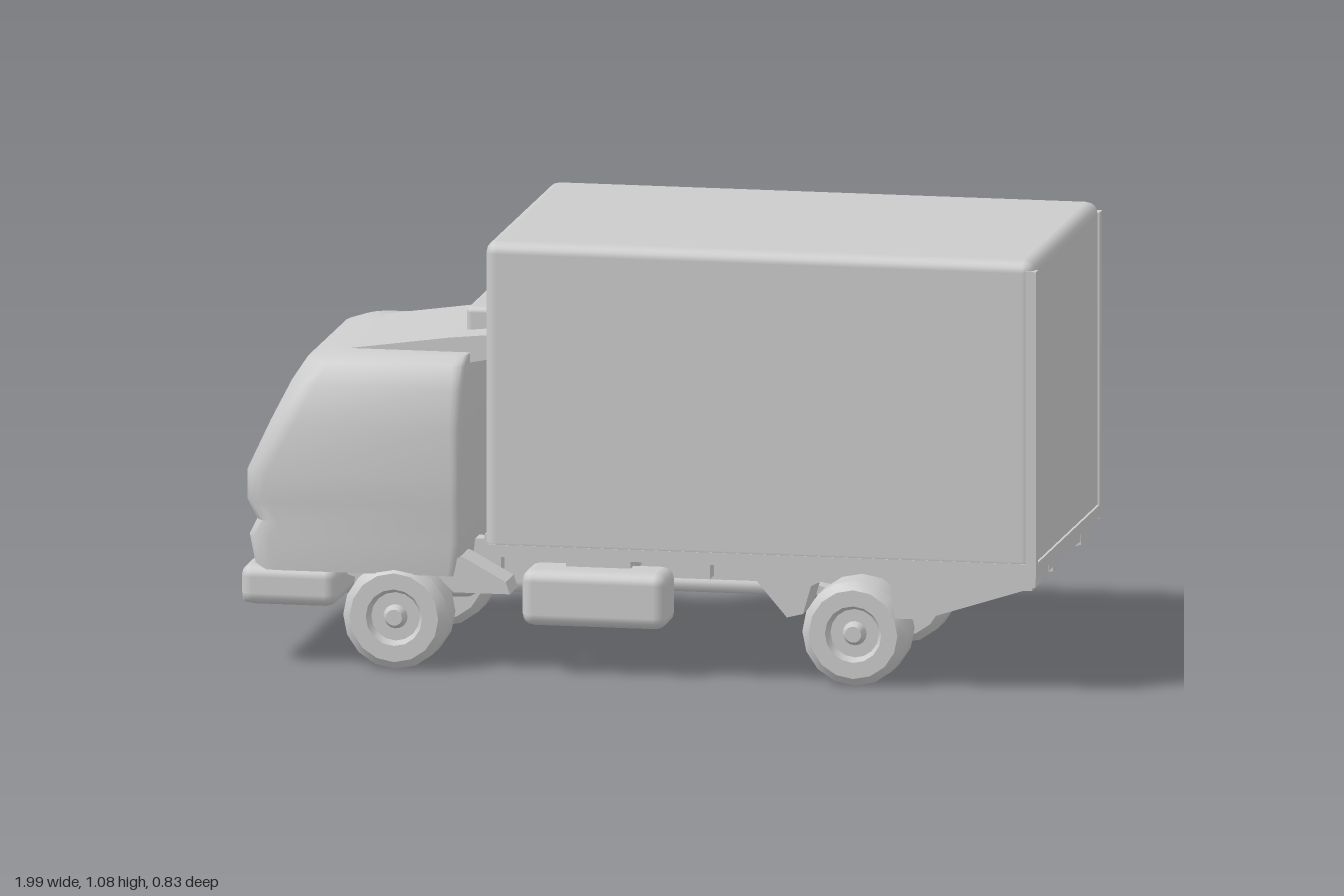
import * as THREE from 'three';
import { RoundedBoxGeometry } from 'three/addons/geometries/RoundedBoxGeometry.js';
import { toCreasedNormals } from 'three/addons/utils/BufferGeometryUtils.js';

const grey = new THREE.MeshStandardMaterial({ color: 0xcccccc, side: THREE.DoubleSide });

export function createModel() {
  const truck = new THREE.Group();

  const add = (name, geometry, x = 0, y = 0, z = 0) => {
    const mesh = new THREE.Mesh(geometry, grey);
    mesh.name = name;
    mesh.position.set(x, y, z);
    truck.add(mesh);
    return mesh;
  };
  // Block given by its limits, with optional rounded edges
  const block = (name, [x0, x1], [y0, y1], [z0, z1], r = 0) => {
    const size = [x1 - x0, y1 - y0, z1 - z0];
    const geometry = r ? new RoundedBoxGeometry(...size, 2, r) : new THREE.BoxGeometry(...size);
    return add(name, geometry, (x0 + x1) / 2, (y0 + y1) / 2, (z0 + z1) / 2);
  };
  // Side profile extruded across the width, centred on z
  const slab = (name, points, width, z = 0) => {
    const shape = new THREE.Shape(points.map(p => new THREE.Vector2(...p)));
    return add(name, new THREE.ExtrudeGeometry(shape, { depth: width, bevelEnabled: false }), 0, 0, z - width / 2);
  };
  // Cylinder along z
  const rod = (name, radius, length, x, y, z, sides = 10) =>
    add(name, new THREE.CylinderGeometry(radius, radius, length, sides).rotateX(Math.PI / 2), x, y, z);

  // Cargo body with its lower sill and rear door posts
  block('cargoBox', [-0.38, 0.985], [0.31, 1.085], [-0.42, 0.41], 0.03);
  block('cargoSill', [-0.37, 0.99], [0.305, 0.335], [-0.42, 0.41]);
  for (const z of [-0.405, 0.395]) block('rearPost', [0.965, 0.99], [0.3, 1.06], [z - 0.015, z + 0.015]);

  // Cab: rounded rectangular sections stacked upward [y, front x, back x, half width, corner radius]
  add('cab', cabGeometry([
    [0.24, -0.97, -0.46, 0.345, 0.06],
    [0.32, -0.985, -0.45, 0.35, 0.06],
    [0.36, -0.965, -0.45, 0.35, 0.06],
    [0.41, -0.99, -0.45, 0.355, 0.06],
    [0.48, -0.99, -0.45, 0.355, 0.06],
    [0.6, -0.935, -0.45, 0.352, 0.07],
    [0.7, -0.885, -0.45, 0.335, 0.07],
    [0.755, -0.85, -0.45, 0.31, 0.07],
    [0.775, -0.8, -0.45, 0.27, 0.06],
  ]));
  // Roof wedge rising to the cargo body
  slab('cabRoof', [[-0.82, 0.765], [-0.45, 0.75], [-0.4, 0.76], [-0.4, 0.82], [-0.5, 0.81]], 0.46);
  block('roofUnit', [-0.48, -0.375], [0.76, 0.87], [-0.17, 0.135], 0.015);
  block('airIntake', [-0.425, -0.385], [0.32, 0.87], [-0.265, -0.21]);

  // Bumper with a lower lip
  block('bumper', [-1, -0.76], [0.15, 0.25], [-0.345, 0.345], 0.03);
  block('bumperLip', [-1, -0.9], [0.15, 0.19], [-0.32, 0.32], 0.015);

  // Ladder frame and running gear
  for (const z of [-0.13, 0.13]) block('frameRail', [-0.9, 0.93], [0.22, 0.3], [z - 0.025, z + 0.025]);
  for (const x of [-0.4, -0.12, 0.12, 0.36, 0.72]) block('crossMember', [x - 0.02, x + 0.02], [0.23, 0.32], [-0.2, 0.2]);
  block('engine', [-0.85, -0.46], [0.14, 0.3], [-0.11, 0.11], 0.03);
  block('gearbox', [-0.47, -0.25], [0.15, 0.27], [-0.075, 0.075], 0.03);
  const shaft = rod('driveShaft', 0.022, 0.76, 0.12, 0.18, 0);
  shaft.rotation.y = Math.PI / 2;

  // Wheels, axles and springs
  for (const [x, r] of [[-0.615, 0.13], [0.525, 0.13]]) {
    rod('axle', 0.03, 0.5, x, 0.14, 0);
    add('differential', new THREE.SphereGeometry(0.065, 10, 8), x, 0.15, 0);
    for (const s of [-1, 1]) {
      const profile = [[0, -0.07], [0.11, -0.07], [r, -0.05], [r, 0.045], [0.11, 0.065], [0.07, 0.065], [0.06, 0.045], [0.03, 0.045], [0.02, 0.065], [0, 0.065]];
      const tyre = new THREE.LatheGeometry(profile.map(p => new THREE.Vector2(...p)), 16);
      const wheel = add('wheel', toCreasedNormals(tyre, 0.7), x, r + 0.004, s * 0.288);
      wheel.rotation.x = s * Math.PI / 2;
      slab('leafSpring', [[x - 0.2, 0.225], [x, 0.165], [x + 0.2, 0.225], [x + 0.2, 0.245], [x, 0.195], [x - 0.2, 0.245]], 0.045, s * 0.18);
    }
  }

  for (const s of [-1, 1]) {
    // Side tank and its bracket
    block('sideTank', [-0.3, 0.06], [0.125, 0.265], [s * 0.29 - 0.07, s * 0.29 + 0.07], 0.03);
    block('tankBracket', [-0.2, -0.04], [0.25, 0.32], [s * 0.22 - 0.07, s * 0.22 + 0.07]);
    // Cab step and inner wheel arch
    slab('cabStep', [[-0.52, 0.25], [-0.47, 0.2], [-0.33, 0.2], [-0.34, 0.23], [-0.45, 0.29]], 0.1, s * 0.29);
    slab('rearMudguard', [[0.63, 0.18], [0.7, 0.18], [0.98, 0.27], [0.98, 0.31], [0.62, 0.31]], 0.16, s * 0.285);
    slab('frontMudguard', [[0.24, 0.31], [0.36, 0.17], [0.4, 0.18], [0.42, 0.25], [0.5, 0.29], [0.6, 0.28], [0.64, 0.31]], 0.13, s * 0.285);
  }
  slab('rearUnderrun', [[0.74, 0.21], [0.98, 0.28], [0.98, 0.31], [0.74, 0.31]], 0.4);

  return truck;
}

// Skin over stacked rounded rectangles, closed at both ends
function cabGeometry(sections) {
  const positions = [], index = [], corner = 4;
  const n = 4 * (corner + 1);
  for (const [y, x0, x1, h, r] of sections) {
    const cx = (x0 + x1) / 2, w = (x1 - x0) / 2;
    for (let q = 0; q < 4; q++) {
      const sx = q === 0 || q === 3 ? 1 : -1, sz = q < 2 ? 1 : -1;
      const rr = sx > 0 ? r * 0.4 : r;
      for (let i = 0; i <= corner; i++) {
        const a = (q + i / corner) * Math.PI / 2;
        positions.push(cx + sx * (w - rr) + rr * Math.cos(a), y, sz * (h - rr) + rr * Math.sin(a));
      }
    }
  }
  for (let j = 0; j < sections.length - 1; j++) {
    for (let i = 0; i < n; i++) {
      const a = j * n + i, b = j * n + (i + 1) % n;
      index.push(a, a + n, b, b, a + n, b + n);
    }
  }
  const top = (sections.length - 1) * n;
  for (let i = 1; i < n - 1; i++) {
    index.push(0, i, i + 1, top, top + i + 1, top + i);
  }
  const geometry = new THREE.BufferGeometry();
  geometry.setAttribute('position', new THREE.Float32BufferAttribute(positions, 3));
  geometry.setIndex(index);
  return toCreasedNormals(geometry, 0.7);
}
